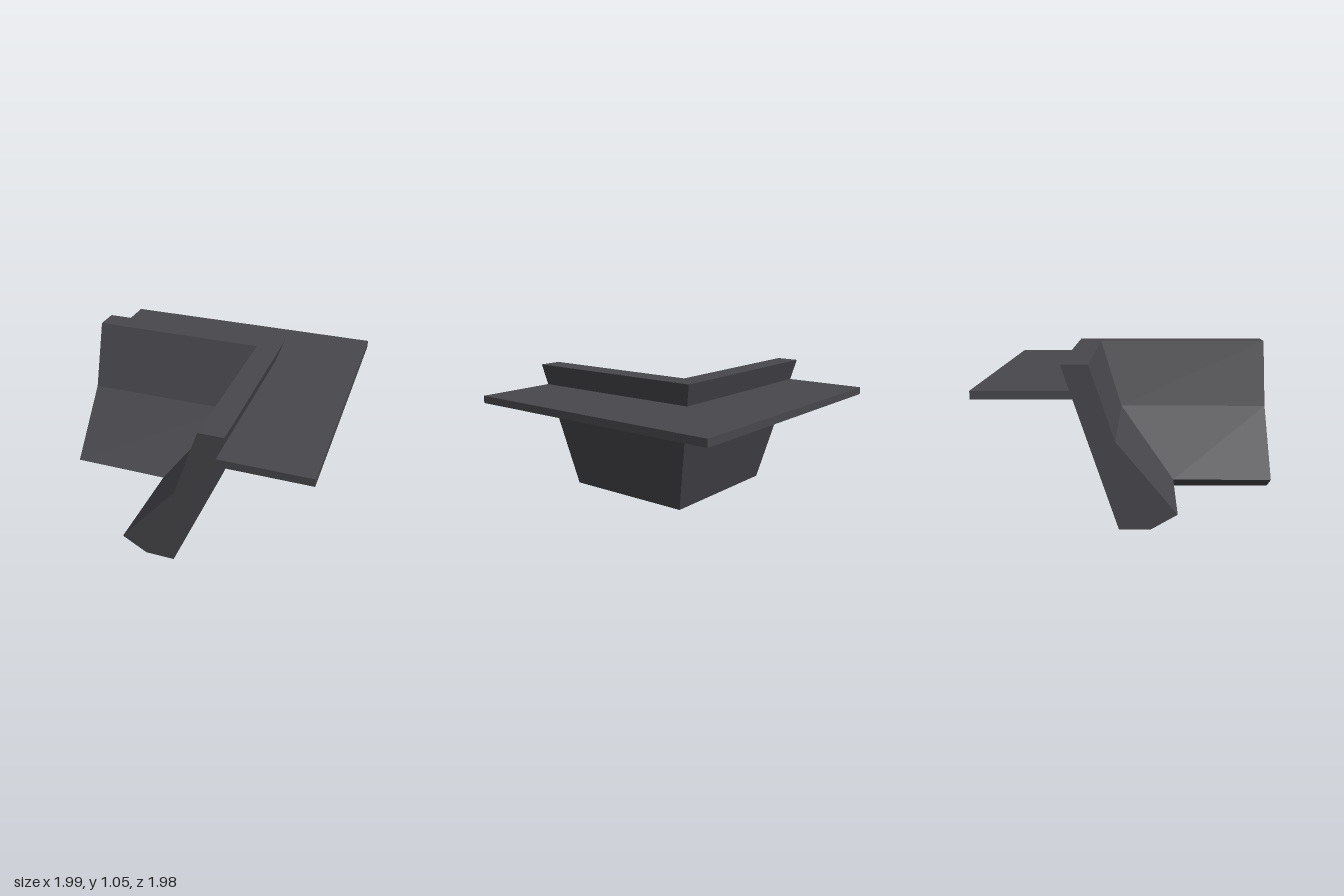
import * as THREE from 'three';

const END = 0.99;

// Sweep a counter-clockwise profile [offset, height] around a mitred right-angle corner.
function sweepCorner(profile, material, name) {
  const stations = [
    ([d, y]) => [d, y, END], // front end
    ([d, y]) => [d, y, -d], // mitre
    ([d, y]) => [-1, y, -d], // left-hand end
  ];
  const pos = [];
  const tri = (a, b, c) => pos.push(...a, ...b, ...c);

  // Long faces of both arms
  for (let s = 0; s < 2; s++) {
    profile.forEach((p, i) => {
      const q = profile[(i + 1) % profile.length];
      const a = stations[s](p), b = stations[s](q);
      const c = stations[s + 1](q), e = stations[s + 1](p);
      tri(a, c, b);
      tri(a, e, c);
    });
  }

  // End caps
  const contour = profile.map(([d, y]) => new THREE.Vector2(d, y));
  for (const [i, j, k] of THREE.ShapeUtils.triangulateShape(contour, [])) {
    tri(...[i, j, k].map((n) => stations[0](profile[n])));
    tri(...[i, k, j].map((n) => stations[2](profile[n])));
  }

  const geometry = new THREE.BufferGeometry();
  geometry.setAttribute('position', new THREE.Float32BufferAttribute(pos, 3));
  geometry.computeVertexNormals();
  const mesh = new THREE.Mesh(geometry, material);
  mesh.name = name;
  return mesh;
}

export function createModel() {
  const group = new THREE.Group();
  group.name = 'cornerTrim';
  const darkGrey = new THREE.MeshStandardMaterial({ color: 0x48474c });
  darkGrey.name = 'darkGrey';

  // Leaning wall with a thick, bevelled foot
  const wall = [[-0.11, 0], [0.09, 0], [0.44, 1.05], [0.27, 1.05], [0.11, 0.57], [-0.28, 0.1]];
  group.add(sweepCorner(wall, darkGrey, 'leaningWall'));

  // Thin ledge running around the outside of the wall
  const ledge = [[0.368, 0.835], [0.994, 0.835], [0.994, 0.888], [0.386, 0.888]];
  group.add(sweepCorner(ledge, darkGrey, 'outerLedge'));

  return group;
}
